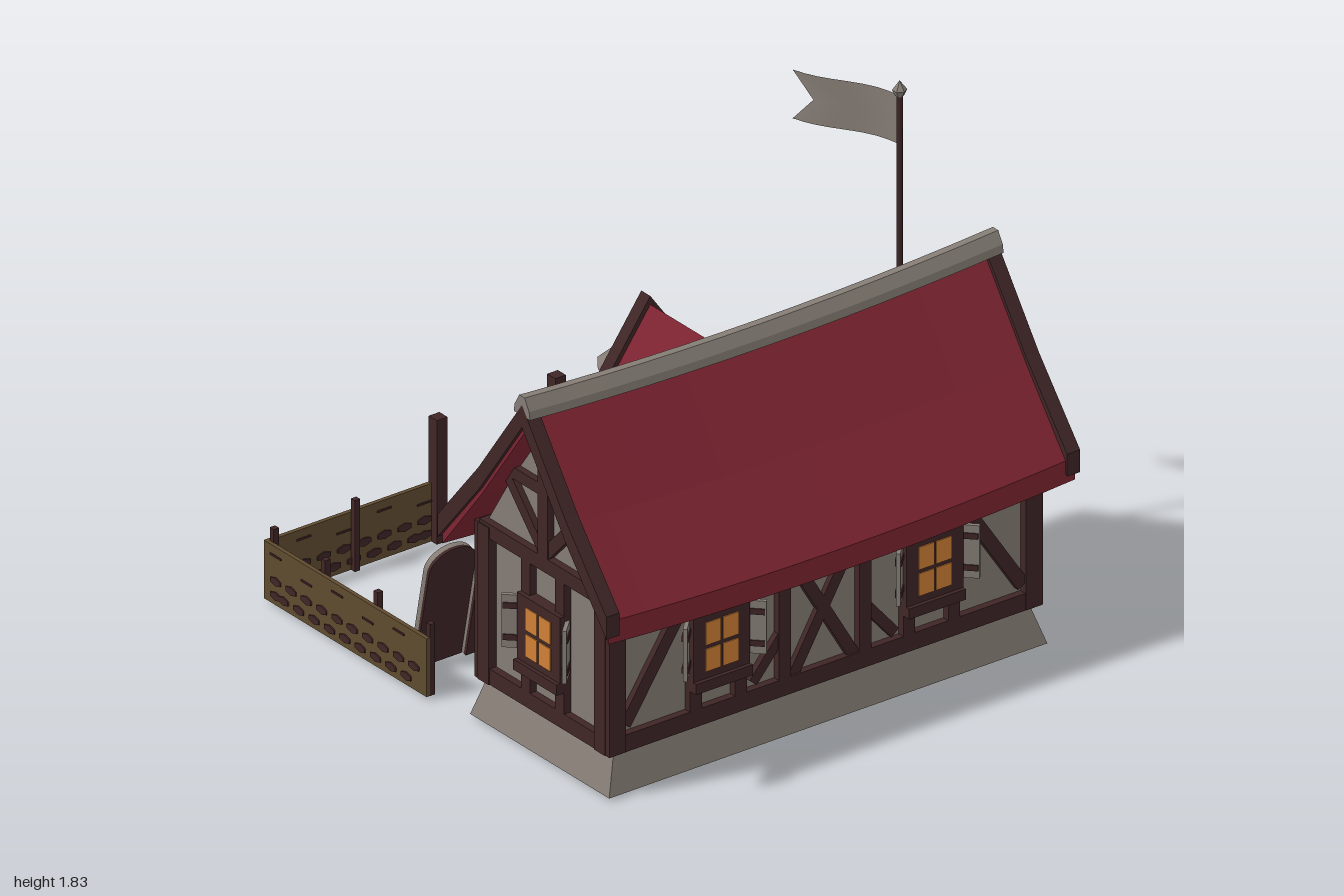
import * as THREE from 'three';

const mat = (name, color, side = THREE.FrontSide) => {
  const m = new THREE.MeshStandardMaterial({ color, side });
  m.name = name;
  return m;
};

export function createModel() {
  const plaster = mat('plaster grey', 0x857d75, THREE.DoubleSide);
  const wood = mat('dark wood', 0x3f2526);
  const red = mat('roof red', 0x7d2431);
  const olive = mat('weathered wood', 0x5f4b2f);
  const glow = mat('window orange', 0xd08036);
  const root = new THREE.Group();
  root.name = 'cottage';

  const add = (parent, name, geo, m, x = 0, y = 0, z = 0) => {
    const mesh = new THREE.Mesh(geo, m);
    mesh.name = name;
    mesh.position.set(x, y, z);
    parent.add(mesh);
    return mesh;
  };
  const group = (name, x = 0, y = 0, z = 0, ry = 0, parent = root) => {
    const g = new THREE.Group();
    g.name = name;
    g.position.set(x, y, z);
    g.rotation.y = ry;
    parent.add(g);
    return g;
  };
  const box = (parent, name, m, w, h, d, x, y, z) =>
    add(parent, name, new THREE.BoxGeometry(w, h, d), m, x, y, z);
  const facet = (geo) => {
    const g = geo.toNonIndexed();
    g.computeVertexNormals();
    return g;
  };
  // timber between two points of a wall plane
  const beam = (g, x1, y1, x2, y2, w = 0.05, d = 0.05, name = 'timber') => {
    const b = box(g, name, wood, Math.hypot(x2 - x1, y2 - y1), w, d, (x1 + x2) / 2, (y1 + y2) / 2, 0.003);
    b.rotation.z = Math.atan2(y2 - y1, x2 - x1);
    return b;
  };
  // mirrored profile extruded along z, centred
  const prism = (half, depth, steps = 1) => {
    const pts = [...half, ...half.map(([x, y]) => [-x, y]).reverse()];
    const s = new THREE.Shape(pts.map(([x, y]) => new THREE.Vector2(x, y)));
    return new THREE.ExtrudeGeometry(s, { depth, steps, bevelEnabled: false }).translate(0, 0, -depth / 2);
  };
  // gable band: upper and lower half-profiles, apex to eave
  const band = (outer, drop, depth, steps) => {
    const up = outer.map(([x, y]) => new THREE.Vector2(x, y));
    const low = up.map((p) => new THREE.Vector2(p.x, p.y - drop)).reverse();
    const flip = (a) => a.map((p) => new THREE.Vector2(-p.x, p.y)).reverse();
    const pts = [...flip(up).slice(0, -1), ...up, ...low, ...flip(low).slice(1)];
    return new THREE.ExtrudeGeometry(new THREE.Shape(pts), { depth, steps, bevelEnabled: false })
      .translate(0, 0, -depth / 2);
  };
  const alongX = (geo) => geo.rotateY(Math.PI / 2);
  const sag = (geo) => {
    const p = geo.attributes.position;
    for (let i = 0; i < p.count; i++) p.setY(i, p.getY(i) - 0.035 * (1 - p.getX(i) ** 2));
    geo.computeVertexNormals();
    return geo;
  };
  // flared stone footing, open below
  const footing = (name, bx, bz, tx, tz, h, z) => {
    const geo = new THREE.CylinderGeometry(1, 1, h, 4, 1, true, Math.PI / 4);
    const p = geo.attributes.position;
    for (let i = 0; i < p.count; i++) {
      const top = p.getY(i) > 0;
      p.setX(i, Math.sign(p.getX(i)) * (top ? tx : bx));
      p.setZ(i, Math.sign(p.getZ(i)) * (top ? tz : bz));
    }
    add(root, name, facet(geo), plaster, 0, h / 2, z);
  };

  // main house shell and roof
  footing('stone base', 0.925, 0.385, 0.875, 0.345, 0.155, 0.5);
  add(root, 'house walls', alongX(prism([[0.34, 0.15], [0.34, 0.74], [0.012, 1.27]], 1.77)), plaster, 0, 0, 0.5);
  const slope = [[0, 1.335], [0.24, 1.0], [0.46, 0.72]];
  add(root, 'main roof', sag(alongX(band(slope, 0.085, 1.97, 12))), red, 0, 0, 0.5);
  const bargeLine = [[0, 1.355], [0.24, 1.02], [0.468, 0.745]];
  for (const s of [-1, 1])
    add(root, 'bargeBoard', alongX(band(bargeLine, 0.085, 0.055, 1)), wood, s * 0.9725, 0, 0.5);
  add(root, 'ridgeCap', sag(alongX(prism([[0.045, 1.315], [0.04, 1.345], [0.015, 1.388]], 2, 12))), plaster, 0, 0, 0.5);

  // window with panes, sill and open shutters
  const addWindow = (wall, u) => {
    const g = group('window', u, 0, 0, 0, wall);
    box(g, 'windowFrame', wood, 0.24, 0.25, 0.07, 0, 0.45, 0.01);
    box(g, 'sill', wood, 0.24, 0.04, 0.1, 0, 0.305, 0.01);
    for (const x of [-0.037, 0.037]) for (const y of [0.395, 0.495])
      box(g, 'pane', glow, 0.064, 0.085, 0.008, x, y, 0.045);
    for (const s of [-1, 1]) {
      beam(g, s * 0.095, 0.2, s * 0.095, 0.3);
      beam(g, s * 0.095, 0.56, s * 0.095, 0.72);
      const sh = group('shutter', s * 0.145, 0.455, 0.04, -s * 0.8, g);
      box(sh, 'shutterBoard', plaster, 0.08, 0.2, 0.015, 0, 0, 0);
      for (const y of [-0.06, 0.06]) box(sh, 'hinge', wood, 0.07, 0.022, 0.024, 0, y, 0);
    }
  };

  // long walls
  for (const [name, z, ry, win] of [['frontWall', 0.84, 0, 0.45], ['backWall', 0.16, Math.PI, 0.61]]) {
    const w = group(name, 0, 0, z, ry);
    beam(w, -0.91, 0.175, 0.91, 0.175, 0.065);
    beam(w, -0.91, 0.7, 0.91, 0.7, 0.07);
    for (const s of [-1, 1]) {
      beam(w, s * 0.88, 0.145, s * 0.88, 0.74, 0.07, 0.06, 'cornerPost');
      addWindow(w, s * win);
      if (z > 0.5) {
        beam(w, s * 0.17, 0.18, s * 0.17, 0.7, 0.05);
        beam(w, s * 0.84, 0.24, s * 0.6, 0.6, 0.05, 0.04);
        beam(w, s * 0.3, 0.23, s * 0.18, 0.37, 0.04, 0.04);
        beam(w, s * 0.13, 0.2, -s * 0.13, 0.64, 0.045, 0.035);
      } else {
        beam(w, s * 0.85, 0.2, s * 0.73, 0.37, 0.045, 0.04);
        beam(w, s * 0.38, 0.18, s * 0.38, 0.7, 0.05);
      }
    }
  }

  // gable triangle timbers
  const gableTimbers = (w, plate, collar, apex, span) => {
    beam(w, -span, plate, span, plate, 0.055);
    beam(w, 0, plate, 0, apex, 0.055);
    beam(w, -span * 0.55, collar, span * 0.55, collar, 0.045, 0.045);
    for (const s of [-1, 1]) beam(w, 0, plate + 0.03, s * span * 0.57, collar - 0.03, 0.045, 0.04);
  };
  for (const s of [-1, 1]) {
    const w = group('gableWall', s * 0.885, 0, 0.5, s * Math.PI / 2);
    beam(w, -0.35, 0.175, 0.35, 0.175, 0.06);
    for (const t of [-1, 1]) beam(w, t * 0.322, 0.145, t * 0.322, 0.74, 0.06, 0.06, 'cornerPost');
    gableTimbers(w, 0.725, 1.0, 1.26, 0.35);
    addWindow(w, 0);
  }

  // rear porch
  footing('porch base', 0.31, 0.17, 0.28, 0.15, 0.155, 0.07);
  add(root, 'porch walls', prism([[0.27, 0.15], [0.27, 0.72], [0.012, 1.09]], 0.37), plaster, 0, 0, 0.115);
  add(root, 'porch roof', band([[0, 1.168], [0.18, 0.92], [0.35, 0.715]], 0.08, 0.45, 1), red, 0, 0, 0.1);
  for (const z of [-0.125, 0.305])
    add(root, 'porchBargeBoard', band([[0, 1.2], [0.18, 0.95], [0.36, 0.74]], 0.085, 0.05, 1), wood, 0, 0, z);
  const porch = group('porchFront', 0, 0, -0.07, Math.PI);
  gableTimbers(porch, 0.66, 0.87, 1.1, 0.29);
  for (const s of [-1, 1]) {
    beam(porch, s * 0.27, 0.145, s * 0.27, 0.7, 0.06, 0.06, 'porchPost');
    beam(porch, s * 0.135, 0.15, s * 0.135, 0.64, 0.045);
    const side = group('porchSide', s * 0.27, 0, 0.04, s * Math.PI / 2);
    const k = s;
    beam(side, k * 0.105, 0.145, k * 0.105, 0.68, 0.06, 0.06, 'porchPost');
    beam(side, -0.1, 0.175, 0.13, 0.175, 0.06);
    beam(side, -0.1, 0.65, 0.13, 0.65, 0.06);
    beam(side, -k * 0.1, 0.2, k * 0.08, 0.38, 0.045, 0.04);
    beam(side, -k * 0.1, 0.42, k * 0.08, 0.62, 0.045, 0.04);
  }
  beam(porch, -0.15, 0.575, 0.15, 0.575, 0.045);
  box(porch, 'door', olive, 0.23, 0.41, 0.02, 0, 0.355, 0.005);
  for (const y of [0.25, 0.46]) box(porch, 'doorBand', wood, 0.2, 0.025, 0.03, 0, y, 0.006);
  box(root, 'doorStep', plaster, 0.3, 0.08, 0.14, 0, 0.04, -0.13);
  box(root, 'porchFloor', plaster, 0.32, 0.05, 0.08, 0, 0.125, -0.11);

  // fence panel along local x with worn patches on both faces
  const patch = new THREE.CylinderGeometry(0.02, 0.02, 0.026, 6).rotateX(Math.PI / 2).scale(1.6, 0.8, 1);
  const panel = (x, z, len, ry) => {
    const g = group('fencePanel', x, 0, z, ry);
    box(g, 'fenceBoard', olive, len, 0.22, 0.016, 0, 0.11, 0);
    const n = Math.floor(len / 0.085);
    for (let i = 0; i < n; i++) {
      const u = (i + 0.5 - n / 2) * 0.085;
      add(g, 'wornPatch', patch, wood, u, 0.09, 0);
      add(g, 'wornPatch', patch, wood, u + (i < n - 1 ? 0.042 : 0), 0.035, 0);
      if (i % 2) box(g, 'crack', wood, 0.06, 0.007, 0.024, u, 0.155 + 0.03 * (i % 4 === 1), 0);
    }
  };
  for (const s of [-1, 1]) {
    panel(s * 0.96, -0.52, 0.9, Math.PI / 2);
    panel(s * 0.6, -0.963, 0.72, 0);
    for (const z of [-0.945, -0.66, -0.37, -0.08])
      box(root, 'fencePost', wood, 0.022, 0.27, 0.022, s * 0.943, 0.135, z);
    box(root, 'fencePost', wood, 0.022, 0.27, 0.022, s * 0.6, 0.135, -0.945);
    box(root, 'gatePost', wood, 0.045, 0.47, 0.045, s * 0.25, 0.235, -0.947);
  }

  // row of leaning round-topped boards
  const boardShape = new THREE.Shape();
  boardShape.moveTo(-0.1, 0).lineTo(0.1, 0).lineTo(0.1, 0.4);
  boardShape.absellipse(0, 0.4, 0.1, 0.075, 0, Math.PI, false);
  const boardGeo = (d) => new THREE.ExtrudeGeometry(boardShape, { depth: d, bevelEnabled: false, curveSegments: 8 });
  for (let i = 0; i < 4; i++) {
    const g = group('leaningBoard', -0.77 + i * 0.197, 0, i % 2 ? -0.27 : -0.295);
    g.rotation.x = 0.2;
    add(g, 'boardFace', boardGeo(0.02), plaster);
    add(g, 'boardBack', boardGeo(0.012), wood, 0, 0, 0.02);
    box(g, 'boardStrip', wood, 0.026, 0.4, 0.025, 0, 0.2, -0.008);
  }

  // tool rack
  for (const x of [0.37, 0.87]) {
    box(root, 'rackPost', wood, 0.035, 0.47, 0.035, x, 0.235, -0.33);
    const leg = box(root, 'rackLeg', wood, 0.03, 0.45, 0.03, x, 0.21, -0.275);
    leg.rotation.x = -0.25;
  }
  box(root, 'rackBar', wood, 0.53, 0.035, 0.03, 0.62, 0.44, -0.33);
  for (let i = 0; i < 4; i++) {
    const g = group('tool', 0.45 + i * 0.117, 0.1, -0.4);
    g.rotation.set(0.25, 0, -0.04);
    box(g, 'toolHandle', wood, 0.02, 0.56, 0.02, 0, 0.28, 0);
    const head = box(g, 'toolHead', plaster, 0.03, 0.14, 0.08, 0, 0.62, 0.015);
    head.rotation.x = -0.25;
  }

  // straw practice figure with hat
  const fig = group('strawFigure', 0.37, 0, -0.65);
  const lathe = (pts, n) => facet(new THREE.LatheGeometry(pts.map(([x, y]) => new THREE.Vector2(x, y)), n));
  box(fig, 'figurePole', wood, 0.03, 0.6, 0.03, 0, 0.3, 0);
  box(fig, 'figureArms', wood, 0.34, 0.028, 0.028, 0, 0.5, 0);
  add(fig, 'figureBody', lathe([[0, 0.33], [0.035, 0.335], [0.08, 0.44], [0.075, 0.51], [0.05, 0.575], [0, 0.59]], 8), olive);
  add(fig, 'figureHat', lathe([[0, 0.61], [0.145, 0.6], [0.07, 0.625], [0.062, 0.67], [0.045, 0.682], [0, 0.682]], 10), plaster);

  // flagpole and swallow-tailed flag
  add(root, 'flagPole', new THREE.CylinderGeometry(0.011, 0.011, 1.77, 6), wood, 0.9, 0.885, 0.1);
  add(root, 'finial', lathe([[0, 1.755], [0.015, 1.757], [0.026, 1.78], [0, 1.815]], 6), plaster, 0.9, 0, 0.1);
  const flag = new THREE.PlaneGeometry(1, 1, 8, 2);
  const fp = flag.attributes.position;
  for (let i = 0; i < fp.count; i++) {
    const v = fp.getY(i);
    const u = (fp.getX(i) + 0.5) * (1 - 0.22 * (1 - Math.abs(2 * v)));
    fp.setXYZ(i, 0.9 - 0.15 * u + 0.015 * Math.sin(u * 6), 1.665 + v * 0.185 - 0.015 * u * u, 0.1 - 0.39 * u);
  }
  flag.computeVertexNormals();
  add(root, 'flag', flag, plaster);

  return root;
}
